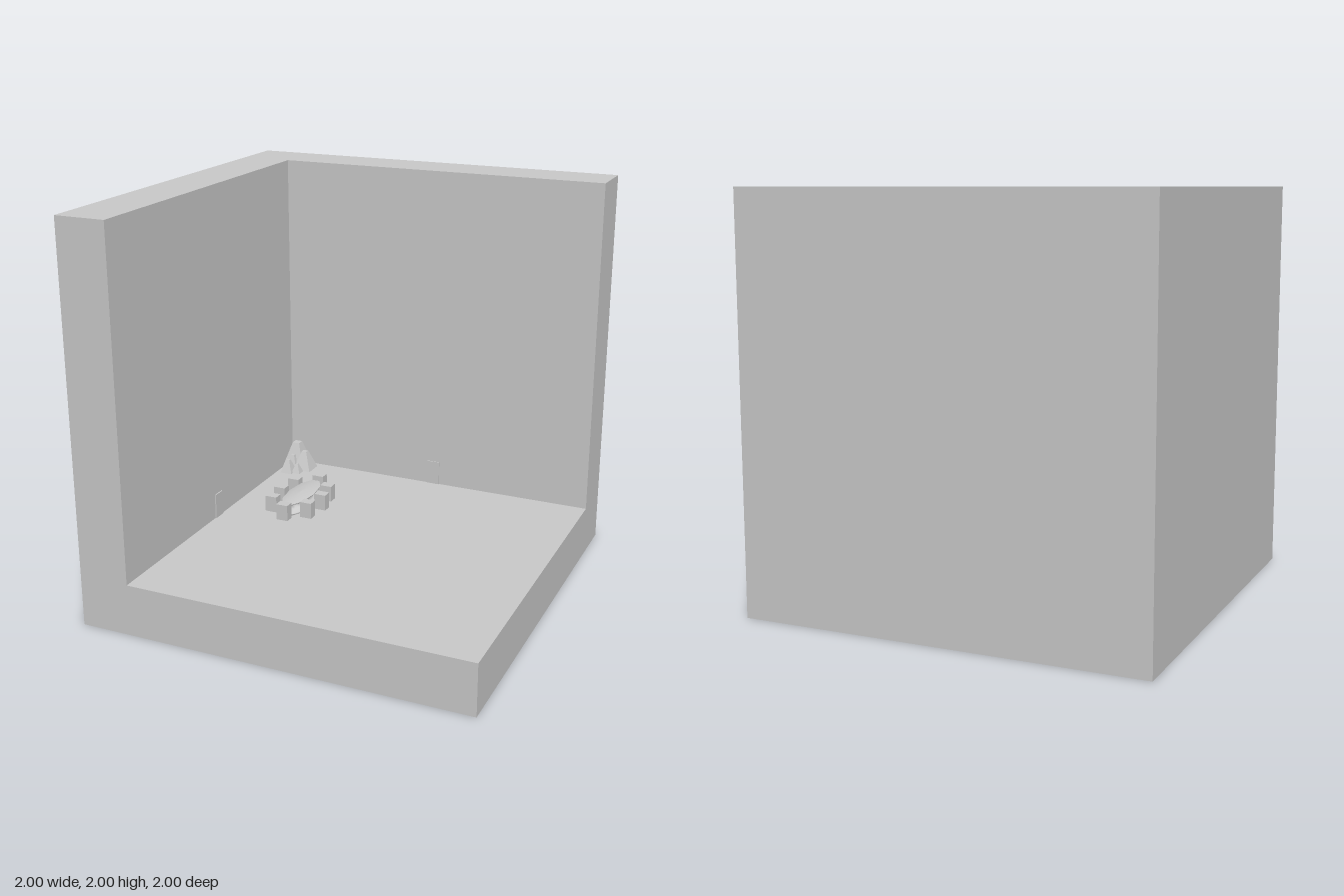
import * as THREE from 'three';

const material = new THREE.MeshStandardMaterial({ color: 0xcccccc, flatShading: true });
const smooth = new THREE.MeshStandardMaterial({ color: 0xcccccc, side: THREE.DoubleSide });

export function createModel() {
  const room = new THREE.Group();
  room.name = 'roomCorner';
  const FLOOR = 0.262, WALL = -0.742;

  function add(name, geometry, x, y, z, mat = material) {
    const mesh = new THREE.Mesh(geometry, mat);
    mesh.name = name;
    mesh.position.set(x, y, z);
    room.add(mesh);
    return mesh;
  }

  // Room shell: an L of two walls and a floor, extruded without overlaps
  const plan = new THREE.Shape([
    [-1, -1], [1, -1], [1, -WALL], [1, 1], [-1, 1],
  ].map(([x, y]) => new THREE.Vector2(x, y)));
  add('floor', new THREE.ExtrudeGeometry(plan, { depth: FLOOR, bevelEnabled: false })
    .rotateX(-Math.PI / 2), 0, 0, 0);
  const corner = new THREE.Shape([
    [-1, -1], [WALL, -1], [WALL, -WALL], [1, -WALL], [1, 1], [-1, 1],
  ].map(([x, y]) => new THREE.Vector2(x, y)));
  add('walls', new THREE.ExtrudeGeometry(corner, { depth: 2 - FLOOR, bevelEnabled: false })
    .rotateX(-Math.PI / 2), 0, FLOOR, 0);

  // Thin doors on the two walls
  add('leftDoor', new THREE.BoxGeometry(0.008, 0.13, 0.07), WALL + 0.002, FLOOR + 0.065, 0.125);
  add('backDoor', new THREE.BoxGeometry(0.07, 0.13, 0.008), 0.13, FLOOR + 0.065, WALL + 0.001);

  // Oval ten-sided table with a waisted pedestal
  const profile = [
    [0, 0], [1, 0.002], [0.95, 0.008], [0.62, 0.016], [0.55, 0.03],
    [0.55, 0.05], [0.65, 0.056], [1, 0.062], [1, 0.066], [0.5, 0.072], [0, 0.075],
  ].map(([r, y]) => new THREE.Vector2(r, y));
  const table = add('table', new THREE.LatheGeometry(profile, 10, Math.PI / 10),
    -0.413, FLOOR, -0.19, smooth);
  table.scale.set(0.071, 1, 0.188);

  // Box seats around the table
  const seat = new THREE.BoxGeometry(0.064, 0.085, 0.05);
  [
    [-0.412, -0.412], [-0.515, -0.318], [-0.312, -0.303], [-0.53, -0.183],
    [-0.29, -0.183], [-0.515, -0.056], [-0.312, -0.056], [-0.412, 0.02],
  ].forEach(([x, z], i) => add(`seat${i + 1}`, seat, x, FLOOR + 0.0425, z));

  // Cluster of four-sided rock spires with cut-off tips: x, z, half base, half tip, height
  [
    [-0.678, -0.677, 0.065, 0.02, 0.143],
    [-0.62, -0.655, 0.052, 0.014, 0.103],
    [-0.682, -0.568, 0.034, 0.009, 0.072],
    [-0.632, -0.578, 0.025, 0.006, 0.052],
    [-0.68, -0.625, 0.035, 0.009, 0.083],
  ].forEach(([x, z, base, tip, h], i) => {
    const spire = new THREE.CylinderGeometry(tip * Math.SQRT2, base * Math.SQRT2, h, 4)
      .rotateY(Math.PI / 4);
    add(`rockSpire${i + 1}`, spire, x, FLOOR + h / 2, z);
  });

  return room;
}
